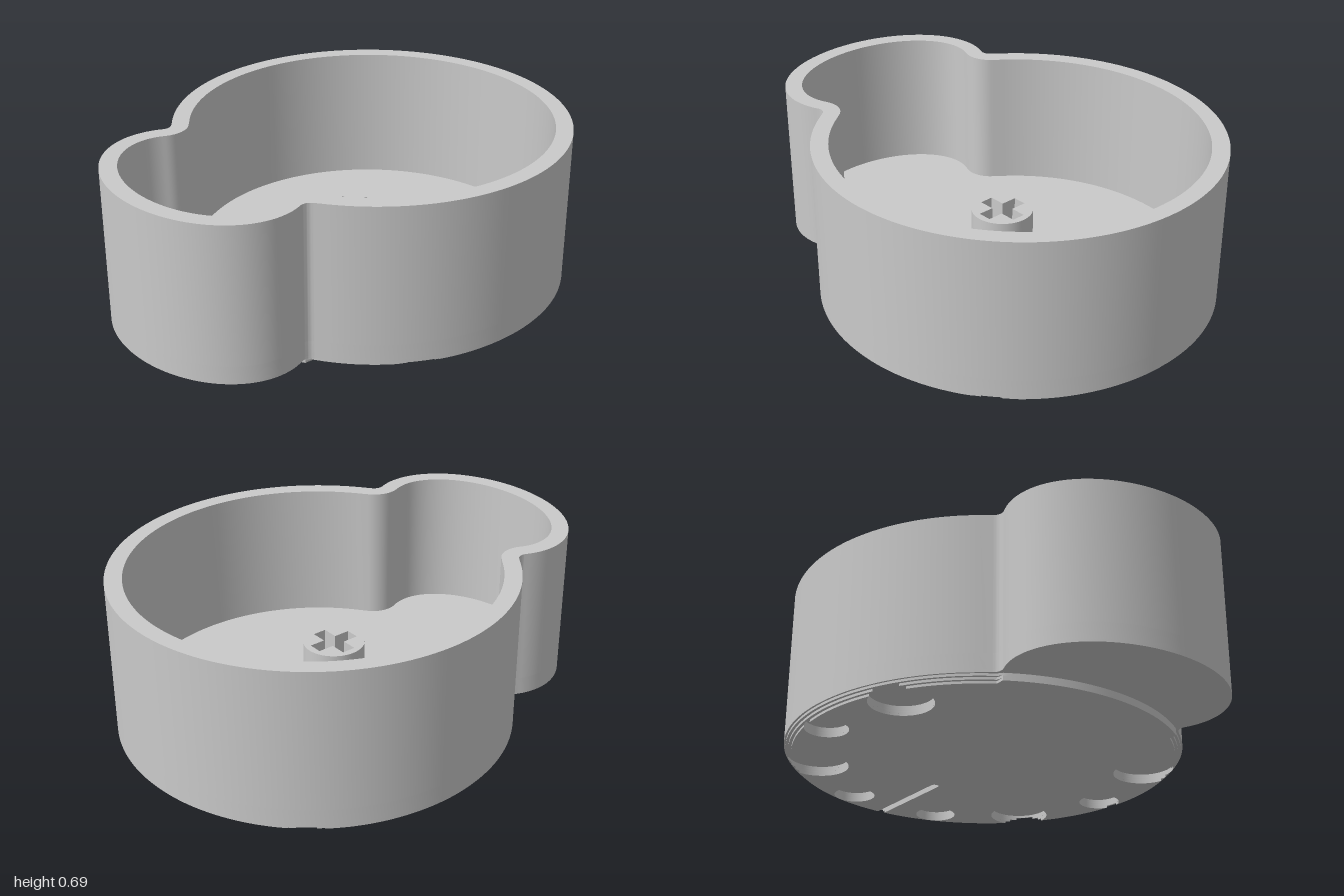
import * as THREE from 'three';
import { toCreasedNormals } from 'three/addons/utils/BufferGeometryUtils.js';

const V = (x, y) => new THREE.Vector2(x, y);
const { sin, cos, PI } = Math;
const rad = THREE.MathUtils.degToRad;

// Plan coordinates are (x, z); the bowl is a big circle blended into an oval lobe
const CZ = -0.186, R = 0.814;
const LOBE = { z: 0.65, a: 0.47, b: 0.35, end: -0.327 };
const FILLET = 0.04;

// Outline moved inward by t, running counter-clockwise
function outline(t) {
  const half = [];
  const lobeAt = (s) => {
    const n = V(cos(s) / LOBE.a, sin(s) / LOBE.b).normalize();
    return { p: V(LOBE.a * cos(s), LOBE.z + LOBE.b * sin(s)), n };
  };
  for (let i = 0; i <= 40; i++) {
    const { p, n } = lobeAt(PI / 2 + (LOBE.end - PI / 2) * i / 40);
    half.push(p.addScaledVector(n, -t));
  }
  // Concave neck
  const { p, n } = lobeAt(LOBE.end);
  const f = p.clone().addScaledVector(n, FILLET);
  const a0 = Math.atan2(-n.y, -n.x);
  const a1 = Math.atan2(CZ - f.y, -f.x) + 2 * PI;
  for (let i = 1; i <= 12; i++) {
    const a = a0 + (a1 - a0) * i / 12;
    half.push(V(f.x + (FILLET + t) * cos(a), f.y + (FILLET + t) * sin(a)));
  }
  // Big circle round to the back
  const start = a1 - PI;
  for (let i = 1; i <= 80; i++) {
    const a = start + (-PI / 2 - start) * i / 80;
    half.push(V((R - t) * cos(a), CZ + (R - t) * sin(a)));
  }
  const mirrored = half.slice(1, -1).reverse().map((q) => V(-q.x, q.y));
  return [...half, ...mirrored].reverse();
}

function circle(x, z, r, n = 48) {
  return Array.from({ length: n }, (_, i) => V(x + r * cos(2 * PI * i / n), z + r * sin(2 * PI * i / n)));
}

// Upright slab between two heights
function slab(points, holes, y0, y1) {
  const shape = new THREE.Shape(points);
  shape.holes = holes.map((h) => new THREE.Path(h));
  const g = new THREE.ExtrudeGeometry(shape, { depth: y1 - y0, bevelEnabled: false });
  g.rotateX(PI / 2).translate(0, y1, 0);
  return toCreasedNormals(g, 0.45);
}

// Round recesses under the base, alternating in size
const recesses = [];
for (const [deg, d, r] of [[18, 0.695, 0.087], [50, 0.685, 0.126], [83.5, 0.7, 0.087], [117, 0.68, 0.126]]) {
  for (const s of [-1, 1]) recesses.push({ a: rad(-90 + s * deg), d, r });
}
const recessHole = (c) => circle(c.d * cos(c.a), CZ + c.d * sin(c.a), c.r);

// Radial pointer slot with a round inner end, out to the given radius
function slot(edge) {
  const w = 0.017, pts = [V(-w, CZ - edge)];
  for (let i = 0; i <= 10; i++) {
    const a = PI - PI * i / 10;
    pts.push(V(w * cos(a), CZ - 0.355 + w * sin(a)));
  }
  return [...pts, V(w, CZ - edge)];
}

// Foot layer: full radius beneath the lobe, reduced elsewhere, notched where recesses break the rim
function footLayer(radius, y0, y1) {
  const notches = recesses.filter((c) => c.d + c.r > radius);
  const inside = recesses.filter((c) => c.d + c.r <= radius);
  const pts = [], done = new Set(), N = 240;
  for (let i = 0; i < N; i++) {
    const th = PI / 2 + 2 * PI * i / N;
    const fromFront = Math.min(i, N - i) * 360 / N;
    const notch = notches.find((c) => {
      c.phi = Math.acos((c.d ** 2 + radius ** 2 - c.r ** 2) / (2 * c.d * radius));
      return cos(th - c.a) > cos(c.phi);
    });
    if (i === N / 2) {
      pts.push(...slot(radius));
    } else if (!notch) {
      const rr = fromFront < 32 ? R : radius;
      pts.push(V(rr * cos(th), CZ + rr * sin(th)));
    } else if (!done.has(notch)) {
      done.add(notch);
      const { a, d, r, phi } = notch;
      const b = Math.atan2(radius * sin(phi), radius * cos(phi) - d);
      for (let k = 0; k <= 40; k++) {
        const l = a - b - (2 * PI - 2 * b) * k / 40;
        pts.push(V(d * cos(a) + r * cos(l), CZ + d * sin(a) + r * sin(l)));
      }
    }
  }
  return slab(pts, inside.map(recessHole), y0, y1);
}

export function createModel() {
  const group = new THREE.Group();
  const grey = new THREE.MeshStandardMaterial({ color: 0xcacaca });
  grey.name = 'plain grey';
  const add = (name, geometry) => {
    const mesh = new THREE.Mesh(geometry, grey);
    mesh.name = name;
    group.add(mesh);
  };

  const outer = outline(0);
  const FLOOR = 0.106, RECESS = 0.04;
  add('wall', slab(outer, [outline(0.07)], FLOOR, 0.685));
  add('floor', slab(outer, [], RECESS, FLOOR));
  add('recessedBase', slab(outer, [...recesses.map(recessHole), slot(0.8)], 0.03, RECESS));

  // Stepped foot
  [0.783, 0.795, 0.806].forEach((r, i) => add('footStep' + (i + 1), footLayer(r, i * 0.01, (i + 1) * 0.01)));

  // Central post with a cross-shaped socket
  const L = 0.097, w = 0.029, pz = -0.088;
  const cross = [[w, L], [w, w], [L, w], [L, -w], [w, -w], [w, -L], [-w, -L], [-w, -w], [-L, -w], [-L, w], [-w, w], [-w, L]]
    .map(([x, z]) => V(x, pz + z));
  add('socketPost', slab(circle(0, pz, 0.126, 64), [cross], FLOOR, 0.313));
  return group;
}
